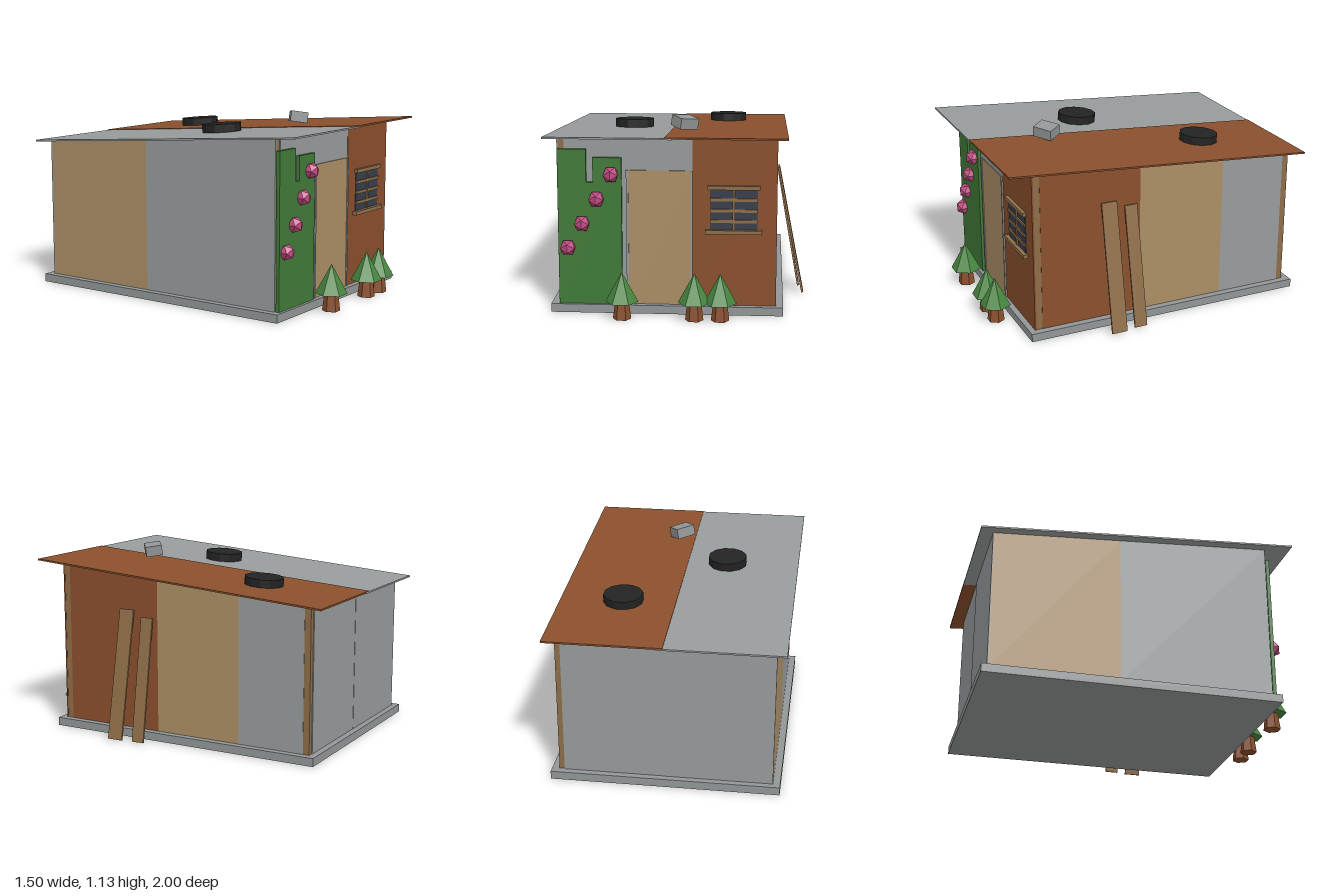
import * as THREE from 'three';

const mat = (name, color) => {
  const m = new THREE.MeshStandardMaterial({ color });
  m.name = name;
  m.flatShading = true;
  return m;
};

export function createModel() {
  const root = new THREE.Group();
  root.name = 'shack';

  const rust = mat('rust', 0x8a4f2d);
  const metal = mat('sheetMetal', 0x979b9b);
  const stone = mat('stone', 0x929696);
  const plywood = mat('plywood', 0xab8e66);
  const wood = mat('wood', 0x8e6d48);
  const ivyGreen = mat('ivyGreen', 0x417a38);
  const pineGreen = mat('pineGreen', 0x47863f);
  const glass = mat('darkGlass', 0x363d4b);
  const rubber = mat('rubber', 0x232323);
  const pink = mat('pink', 0xc04a80);

  const add = (name, geo, material, x = 0, y = 0, z = 0, parent = root) => {
    const m = new THREE.Mesh(geo, material);
    m.name = name;
    m.position.set(x, y, z);
    parent.add(m);
    return m;
  };
  // Box given by its limits
  const block = (name, material, x0, x1, y0, y1, z0, z1, parent = root) =>
    add(name, new THREE.BoxGeometry(x1 - x0, y1 - y0, z1 - z0), material,
      (x0 + x1) / 2, (y0 + y1) / 2, (z0 + z1) / 2, parent);

  // Underside of the sloping roof
  const slope = 0.075;
  const roofY = (z) => 1.05 + slope * (z - 0.935);

  // Wall piece standing on the slab, its top cut to the roof slope
  const wall = (name, material, x0, x1, z0, z1) => {
    const g = new THREE.BoxGeometry(x1 - x0, 1, z1 - z0);
    g.translate((x0 + x1) / 2, 0, (z0 + z1) / 2);
    const p = g.attributes.position;
    for (let i = 0; i < p.count; i++) p.setY(i, p.getY(i) > 0 ? roofY(p.getZ(i)) : 0.05);
    g.computeVertexNormals();
    return add(name, g, material);
  };
  // Roof sheet following the slope
  const sheet = (name, material, x0, x1, lift) => {
    const g = new THREE.BoxGeometry(x1 - x0, 0.01, 1.935);
    g.translate((x0 + x1) / 2, 0, -0.0325);
    const p = g.attributes.position;
    for (let i = 0; i < p.count; i++) p.setY(i, p.getY(i) + 0.005 + lift + roofY(p.getZ(i)));
    g.computeVertexNormals();
    return add(name, g, material);
  };

  // Floor slab
  block('floorSlab', stone, -0.74, 0.62, 0, 0.05, -0.96, 0.82);

  // Corner posts
  for (const x of [-0.69, 0.537])
    for (const z of [-0.915, 0.735]) wall('cornerPost', wood, x, x + 0.038, z, z + 0.04);

  // Front wall
  wall('frontMetalPanel', metal, -0.655, 0.09, 0.765, 0.782);
  wall('frontRustPanel', rust, 0.09, 0.577, 0.774, 0.784);
  // Right wall
  wall('rightRustPanel', rust, 0.56, 0.577, 0.1, 0.736);
  wall('rightPlywoodPanel', plywood, 0.56, 0.577, -0.455, 0.1);
  wall('rightMetalPanel', metal, 0.56, 0.577, -0.876, -0.455);
  // Left wall
  wall('leftMetalPanel', metal, -0.697, -0.687, -0.15, 0.775);
  wall('leftPlywoodPanel', plywood, -0.697, -0.687, -0.917, -0.15);
  // Back wall
  wall('backPanelOuter', metal, -0.697, -0.05, -0.922, -0.912);
  wall('backPanelInner', metal, -0.05, 0.543, -0.92, -0.91);

  // Roof
  sheet('metalRoofSheet', metal, -0.755, -0.02, 0);
  sheet('rustRoofSheet', rust, -0.06, 0.635, 0.004);

  // Door with thin side jambs
  block('door', plywood, -0.282, 0.077, 0.05, 0.848, 0.778, 0.788);
  for (const x of [-0.295, 0.077]) block('doorJamb', metal, x, x + 0.013, 0.05, 0.848, 0.775, 0.793);

  // Window
  const win = new THREE.Group();
  win.name = 'window';
  root.add(win);
  block('windowGlass', glass, 0.19, 0.465, 0.5, 0.745, 0.78, 0.788, win);
  block('windowLintel', wood, 0.175, 0.478, 0.742, 0.765, 0.78, 0.805, win);
  block('windowSill', wood, 0.162, 0.49, 0.482, 0.505, 0.78, 0.812, win);
  block('windowMullion', wood, 0.321, 0.335, 0.5, 0.745, 0.786, 0.796, win);
  for (const y of [0.555, 0.618, 0.682])
    block('windowBar', wood, 0.19, 0.465, y - 0.009, y + 0.009, 0.786, 0.795, win);

  // Ivy sheet with a notch in its top edge
  const outline = [[-0.692, 0.05], [-0.32, 0.05], [-0.32, 0.922], [-0.487, 0.922],
    [-0.487, 0.777], [-0.525, 0.777], [-0.525, 0.97], [-0.692, 0.97]];
  const ivyShape = new THREE.Shape(outline.map(([x, y]) => new THREE.Vector2(x, y)));
  add('ivy', new THREE.ExtrudeGeometry(ivyShape, { depth: 0.022, bevelEnabled: false }), ivyGreen, 0, 0, 0.78);

  // Flowers climbing the ivy
  for (let i = 0; i < 4; i++)
    add('flower', new THREE.IcosahedronGeometry(0.05, 0), pink, -0.635 + 0.085 * i, 0.39 + 0.145 * i, 0.815);

  // Tyres lying on the roof
  for (const [x, z] of [[0.255, -0.455], [-0.31, 0.13]]) {
    const tyre = add('roofTyre', new THREE.CylinderGeometry(0.12, 0.12, 0.05, 12), rubber, x, roofY(z) + 0.037, z);
    tyre.rotation.set(-slope, Math.PI / 12, 0);
  }

  // Loose block on the roof
  const brick = add('roofBlock', new THREE.BoxGeometry(0.125, 0.065, 0.105), stone, 0.025, 1.083, 0.47);
  brick.rotation.set(0.05, 0.65, -0.16, 'ZXY');

  // Planks leaning on the right wall
  const plank = (foot, top, width, twist) => {
    const a = new THREE.Vector3(...foot), b = new THREE.Vector3(...top);
    const m = add('leaningPlank', new THREE.BoxGeometry(0.012, a.distanceTo(b), width), wood);
    m.position.copy(a).add(b).multiplyScalar(0.5);
    m.rotation.set(twist, 0, Math.atan2(a.x - b.x, b.y - a.y));
  };
  plank([0.742, 0.01, 0.308], [0.588, 0.793, 0.308], 0.098, 0);
  plank([0.72, 0.008, 0.16], [0.587, 0.753, 0.165], 0.08, 0.012);

  // Little trees in front
  for (const x of [-0.31, 0.108, 0.257]) {
    const tree = new THREE.Group();
    tree.name = 'smallTree';
    tree.position.set(x, 0, 0.917);
    tree.rotation.y = Math.PI / 6;
    root.add(tree);
    add('treeTrunk', new THREE.CylinderGeometry(0.04, 0.053, 0.105, 6), rust, 0, 0.0525, 0, tree);
    add('treeCrown', new THREE.ConeGeometry(0.095, 0.175, 6), pineGreen, 0, 0.19, 0, tree);
  }

  return root;
}
